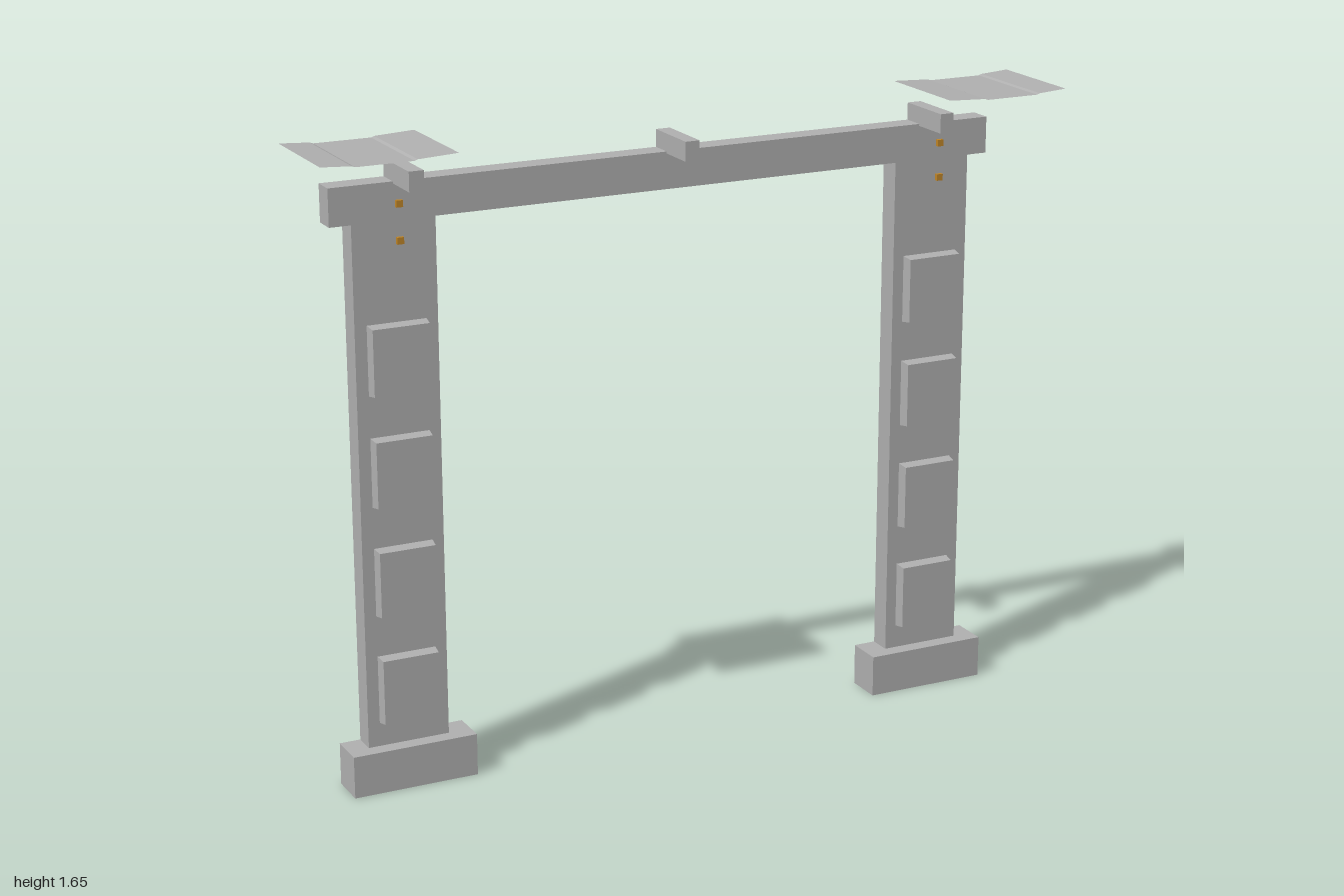
import * as THREE from 'three';

const stone = new THREE.MeshStandardMaterial({ color: 0xb0b0b0, side: THREE.DoubleSide });
stone.name = 'grey stone';
const amber = new THREE.MeshStandardMaterial({ color: 0xc08628 });
amber.name = 'amber lamp';

const BACK = -0.14, FACE = -0.08;

function add(parent, name, geometry, material = stone) {
  const mesh = new THREE.Mesh(geometry, material);
  mesh.name = name;
  parent.add(mesh);
  return mesh;
}

// Box given by its limits, with the rear face left out
function openBox(x0, x1, y0, y1, z0, z1) {
  const g = new THREE.BoxGeometry(x1 - x0, y1 - y0, z1 - z0);
  g.setIndex(Array.from(g.index.array).slice(0, 30));
  g.clearGroups();
  return g.translate((x0 + x1) / 2, (y0 + y1) / 2, (z0 + z1) / 2);
}

// Surface swept straight along z from a profile of [x, y] points
function sweep(points, z0, z1) {
  const pos = [];
  for (let i = 0; i < points.length - 1; i++) {
    const [ax, ay] = points[i], [bx, by] = points[i + 1];
    pos.push(ax, ay, z0, ax, ay, z1, bx, by, z1, ax, ay, z0, bx, by, z1, bx, by, z0);
  }
  const g = new THREE.BufferGeometry();
  g.setAttribute('position', new THREE.Float32BufferAttribute(pos, 3));
  g.computeVertexNormals();
  return g;
}

// Raised panel whose front edge is drawn in slightly
function panelGeometry(x, y) {
  const g = openBox(-0.077, 0.077, -0.0885, 0.0885, FACE, -0.05);
  const p = g.attributes.position;
  for (let i = 0; i < p.count; i++) {
    if (p.getZ(i) > -0.06) p.setXY(i, p.getX(i) * 0.95, p.getY(i) * 0.95);
  }
  g.computeVertexNormals();
  return g.translate(x, y, 0);
}

export function createModel() {
  const model = new THREE.Group();
  model.name = 'gateway';

  // Hollow frame: one outline for both legs and the beam, open at the back
  const half = [[0.635, 1.45], [0.635, 0.11], [0.85, 0.11], [0.85, 1.45], [0.905, 1.45], [0.905, 1.545]];
  const outline = [...half, ...half.slice().reverse().map(([x, y]) => [-x, y])];
  const shape = new THREE.Shape(outline.map(([x, y]) => new THREE.Vector2(x, y)));
  add(model, 'frameFront', new THREE.ShapeGeometry(shape).translate(0, 0, FACE));
  add(model, 'frameWalls', sweep([...outline, outline[0]].reverse(), BACK, FACE));

  for (const side of [-1, 1]) {
    const post = new THREE.Group();
    post.name = side > 0 ? 'leftPost' : 'rightPost';
    model.add(post);

    // Plinth
    const xs = [side * 0.575, side * 0.905].sort((a, b) => a - b);
    add(post, 'plinth', openBox(xs[0], xs[1], 0, 0.11, BACK, -0.04));

    // Four raised panels up the leg
    for (let i = 0; i < 4; i++) {
      add(post, 'panel', panelGeometry(side * 0.742, 0.261 + i * 0.2835));
    }

    // Two small lamps
    for (const y of [1.41, 1.5]) {
      add(post, 'lamp', new THREE.BoxGeometry(0.017, 0.017, 0.01), amber)
        .position.set(side * 0.742, y, -0.041);
    }

    // Thin three-part canopy, shallowly dished
    const canopy = [[0.66, 1.65], [0.762, 1.645], [0.77, 1.642], [0.915, 1.642], [0.923, 1.645], [1, 1.65]]
      .map(([x, y]) => [side * x, y]);
    if (side < 0) canopy.reverse();
    add(post, 'canopy', sweep(canopy, BACK, 0.14));
  }

  // Brackets standing on the beam and reaching forward
  for (const x of [-0.722, 0, 0.722]) {
    add(model, 'bracket', openBox(x - 0.019, x + 0.019, 1.54, 1.59, BACK, 0.025));
  }
  return model;
}
